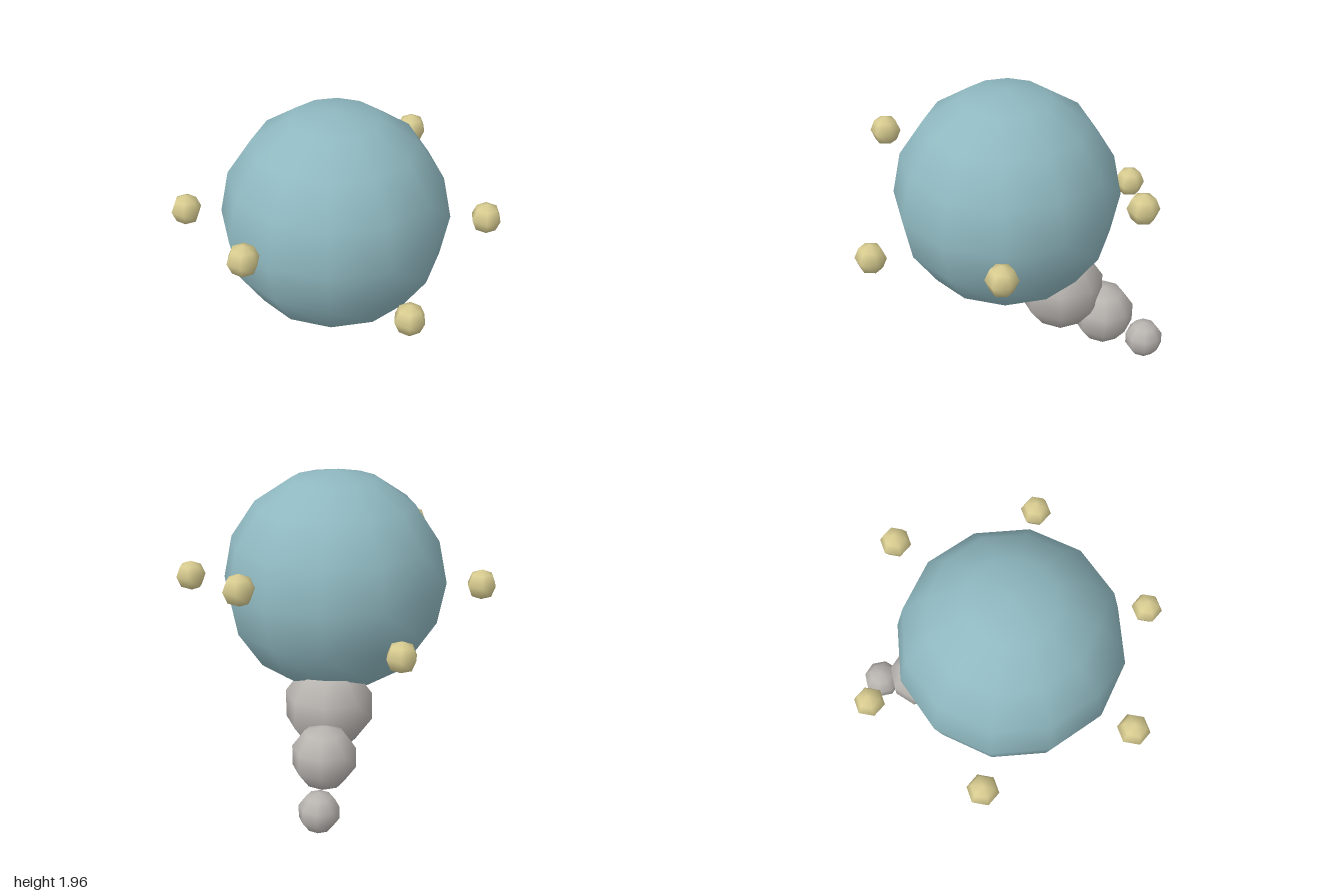
import * as THREE from 'three';

export function createModel() {
  const model = new THREE.Group();
  model.name = 'orbitingSphere';

  const material = (name, color) => {
    const m = new THREE.MeshStandardMaterial({ color });
    m.name = name;
    return m;
  };
  const teal = material('teal', 0x8fb8c0);
  const grey = material('warmGrey', 0xb8b4b0);
  const yellow = material('paleYellow', 0xd8cc90);

  const ball = (name, mat, radius, segments, rings, x, y, z) => {
    const mesh = new THREE.Mesh(new THREE.SphereGeometry(radius, segments, rings), mat);
    mesh.name = name;
    mesh.position.set(x, y, z);
    model.add(mesh);
    return mesh;
  };

  // Large body
  const cy = 1.255, cz = 0.07;
  ball('body', teal, 0.7, 12, 8, 0, cy, cz);

  // Tail of shrinking balls, running down and back
  [[0.281, 0.556, -0.277], [0.203, 0.343, -0.56], [0.126, 0.126, -0.841]].forEach(
    ([r, y, z], i) => ball(`tailBall${i + 1}`, grey, r, 8, 5, 0, y, z));

  // Six small orbs in a wavy ring around the body
  const ring = 0.916;
  for (let i = 0; i < 6; i++) {
    const a = (i * Math.PI) / 3;
    const orb = ball(`orb${i + 1}`, yellow, 0.0965, 6, 4,
      ring * Math.cos(a), cy + 0.211 * Math.sin(2 * a), cz - ring * Math.sin(a));
    orb.rotation.y = Math.PI / 2;
  }

  return model;
}
